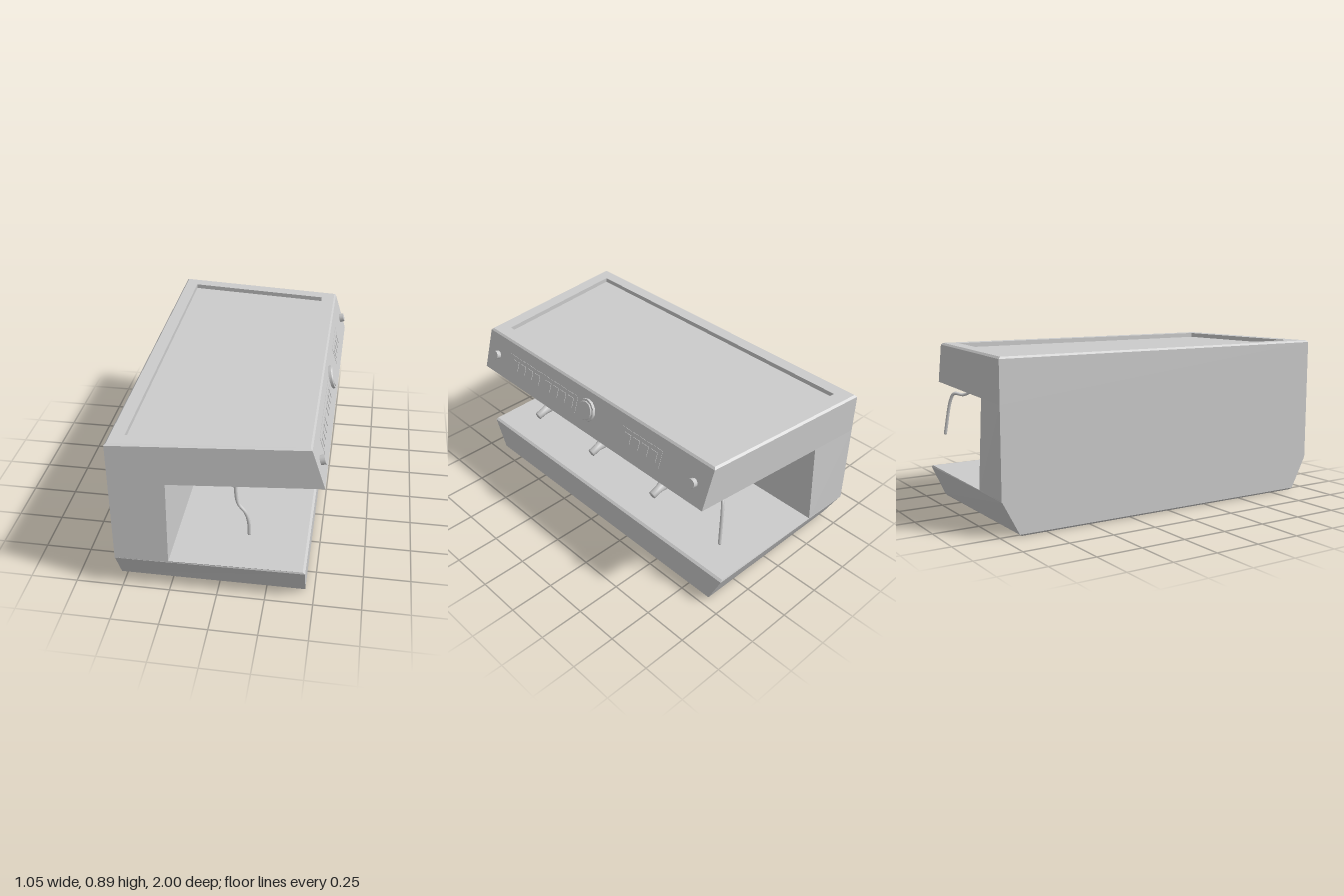
import * as THREE from 'three';

const material = new THREE.MeshStandardMaterial({ color: 0xcccccc });

function add(parent, name, geometry, x = 0, y = 0, z = 0) {
  const mesh = new THREE.Mesh(geometry, material);
  mesh.name = name;
  mesh.position.set(x, y, z);
  parent.add(mesh);
  return mesh;
}

// Stacks four-cornered rings [y, xBack, xFront, halfWidthBack, halfWidthFront] into a closed solid.
function loft(rings) {
  const pos = [];
  const loops = rings.map(([y, x0, x1, w0, w1]) => [[x0, y, w0], [x1, y, w1], [x1, y, -w1], [x0, y, -w0]]);
  const quad = (a, b, c, d) => pos.push(...a, ...b, ...c, ...a, ...c, ...d);
  for (let r = 0; r < loops.length - 1; r++) {
    for (let i = 0; i < 4; i++) {
      const j = (i + 1) % 4;
      quad(loops[r][i], loops[r][j], loops[r + 1][j], loops[r + 1][i]);
    }
  }
  quad(...loops[0].slice().reverse());
  quad(...loops[loops.length - 1]);
  const g = new THREE.BufferGeometry();
  g.setAttribute('position', new THREE.Float32BufferAttribute(pos, 3));
  g.computeVertexNormals();
  return g;
}

function tube(points, radius) {
  const curve = new THREE.CatmullRomCurve3(points.map(p => new THREE.Vector3(...p)), false, 'centripetal');
  return new THREE.TubeGeometry(curve, 32, radius, 10);
}

function disc(r0, r1, depth, sides) {
  return new THREE.CylinderGeometry(r1, r0, depth, sides).rotateZ(-Math.PI / 2);
}

// Lathe with sharp edges: one short lathe per profile segment
function lathe(parent, name, profile, sides) {
  for (let i = 0; i < profile.length - 1; i++) {
    const pair = [profile[i], profile[i + 1]].map(p => new THREE.Vector2(...p));
    add(parent, name, new THREE.LatheGeometry(pair, sides));
  }
}

function brewHead(z) {
  const head = new THREE.Group();
  head.name = 'brewHead';
  head.position.set(0.21, 0, z);
  lathe(head, 'brewCup', [[0, 0.568], [0.065, 0.568], [0.088, 0.582], [0.092, 0.605],
    [0.105, 0.605], [0.105, 0.662]], 24);

  // Handle, turned about its own axis and tipped down towards the front
  const profile = [[0, 0], [0.016, 0], [0.017, 0.04], [0.024, 0.1], [0.031, 0.17],
    [0.031, 0.2], [0.022, 0.235], [0.022, 0.285], [0, 0.285]];
  const handle = add(head, 'handle',
    new THREE.LatheGeometry(profile.map(p => new THREE.Vector2(...p)), 14), -0.01, 0.562, 0);
  handle.rotation.z = -Math.PI / 2 - 0.3;
  return head;
}

export function createModel() {
  const model = new THREE.Group();
  model.name = 'espressoMachine';

  // C-shaped housing
  add(model, 'base', loft([
    [0, -0.52, 0.445, 0.89, 0.89],
    [0.01, -0.53, 0.453, 0.905, 0.9],
    [0.18, -0.53, 0.453, 0.995, 0.978],
    [0.19, -0.53, 0.44, 1, 0.975],
  ]));
  add(model, 'rearColumn', loft([
    [0.185, -0.53, -0.25, 1, 0.993],
    [0.66, -0.53, -0.25, 1, 0.971],
  ]));
  add(model, 'upperHousing', loft([
    [0.66, -0.53, 0.525, 1, 0.892],
    [0.88, -0.53, 0.455, 1, 0.899],
    [0.89, -0.52, 0.445, 0.988, 0.889],
    [0.89, -0.45, 0.37, 0.908, 0.823],
    [0.865, -0.45, 0.37, 0.908, 0.823],
  ]));

  // Sloping control panel: local x points out of the slope
  const panel = new THREE.Group();
  panel.name = 'controlPanel';
  panel.position.set(0.49, 0.77, 0);
  panel.rotation.z = Math.atan2(0.07, 0.22);
  model.add(panel);
  add(panel, 'dial', disc(0.065, 0.065, 0.016, 12), 0.008, 0.01, 0);
  add(panel, 'dialFace', disc(0.055, 0.05, 0.006, 12), 0.018, 0.01, 0);
  for (const side of [-1, 1]) {
    add(panel, 'sideKnob', disc(0.025, 0.025, 0.026, 12), 0.013, -0.005, side * 0.8);
  }
  const buttonPanels = [
    { z: -0.42, width: 0.3, groups: [-0.42] },
    { z: 0.385, width: 0.6, groups: [0.235, 0.53] },
  ];
  for (const { z, width, groups } of buttonPanels) {
    add(panel, 'buttonPlate', new THREE.BoxGeometry(0.004, 0.1, width), 0, 0, z);
    for (const centre of groups) {
      for (let i = 0; i < 4; i++) {
        add(panel, 'button', new THREE.BoxGeometry(0.008, 0.055, 0.05), 0.001, 0, centre + (i - 1.5) * 0.065);
      }
    }
  }

  // Three brew heads under the upper housing
  for (const z of [0.48, 0, -0.49]) model.add(brewHead(z));

  // Steam and water wands
  const wands = [
    [[0.078, 0.67, 0.835], [0.078, 0.56, 0.835], [0.092, 0.485, 0.84], [0.13, 0.44, 0.85],
      [0.146, 0.39, 0.853], [0.15, 0.31, 0.855]],
    [[0.28, 0.67, -0.79], [0.285, 0.625, -0.8], [0.315, 0.603, -0.83], [0.348, 0.61, -0.87],
      [0.365, 0.575, -0.885], [0.4, 0.378, -0.91]],
  ];
  for (const path of wands) {
    add(model, 'wand', tube(path, 0.009));
    const [x, y, z] = path[path.length - 1];
    add(model, 'wandTip', new THREE.SphereGeometry(0.009, 10, 6), x, y, z);
  }
  return model;
}
